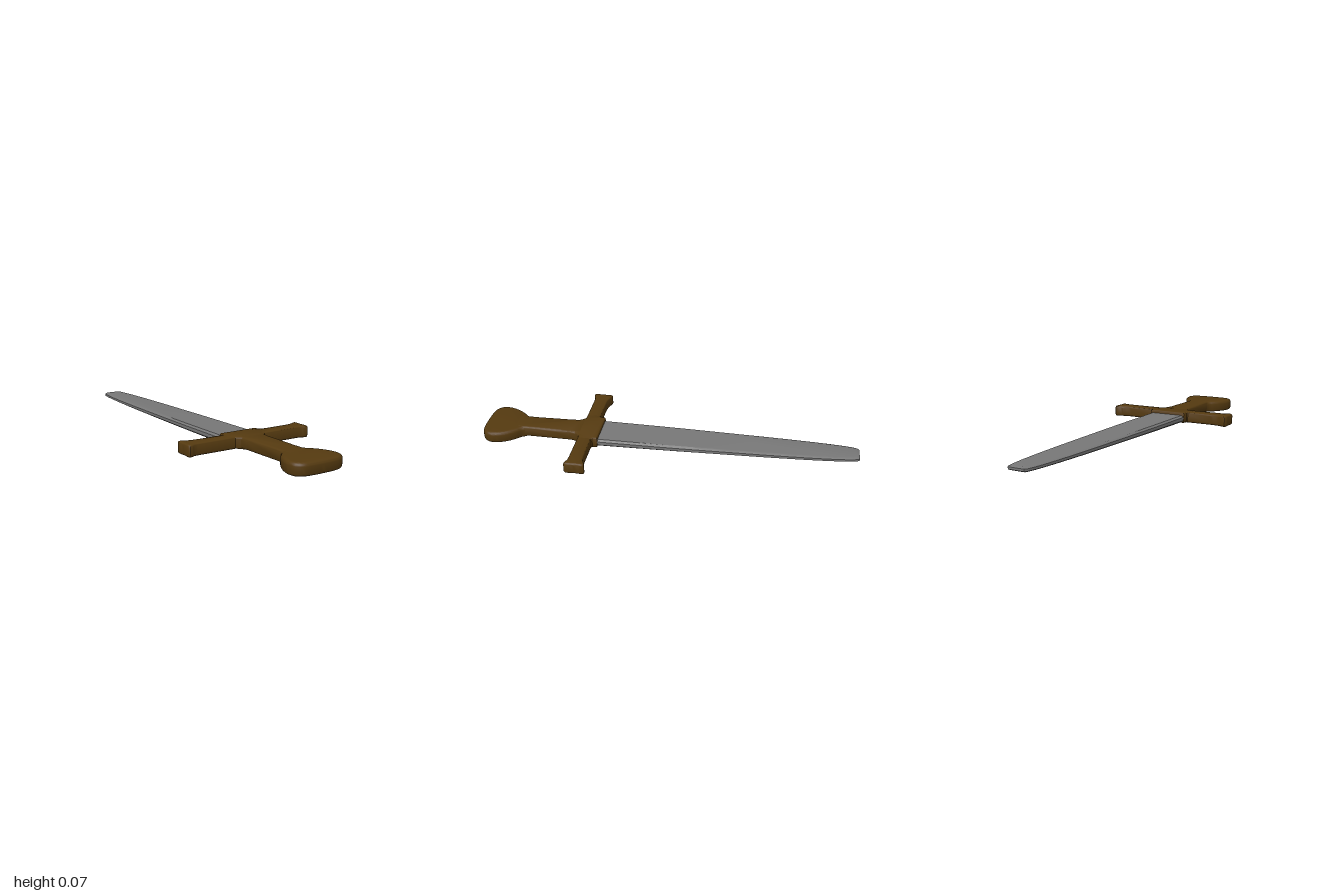
import * as THREE from 'three';
import { toCreasedNormals } from 'three/addons/utils/BufferGeometryUtils.js';

// Mirrors a right-hand outline of [x, z] points into a closed plan shape
function planShape(half) {
  const pts = half.map(([x, z]) => new THREE.Vector2(x, -z));
  const mirrored = half.filter(([x]) => x > 0).reverse().map(([x, z]) => new THREE.Vector2(-x, -z));
  return new THREE.Shape([...pts, ...mirrored]);
}

// Smooths a run of [x, z] points
function smooth(points, n) {
  const curve = new THREE.CatmullRomCurve3(points.map(([x, z]) => new THREE.Vector3(x, 0, z)), false, 'centripetal');
  return curve.getPoints(n).map((p) => [p.x, p.z]);
}

// Lying slab with rounded rims, from y0 to y1, keeping the outline's size
function slab(half, y0, y1, bevel, thick = bevel, segments = 4) {
  const g = new THREE.ExtrudeGeometry(planShape(half), {
    depth: y1 - y0 - 2 * thick, bevelEnabled: true, bevelSize: bevel,
    bevelOffset: -bevel, bevelThickness: thick, bevelSegments: segments, curveSegments: 8,
  });
  g.rotateX(-Math.PI / 2);
  g.translate(0, y0 + thick, 0);
  return g;
}

export function createModel() {
  const steel = new THREE.MeshStandardMaterial({ color: 0x777777 });
  steel.name = 'steel';
  const bronze = new THREE.MeshStandardMaterial({ color: 0x553a10 });
  bronze.name = 'bronze';

  const sword = new THREE.Group();
  sword.name = 'sword';
  const add = (name, geometry, material) => {
    const mesh = new THREE.Mesh(toCreasedNormals(geometry, 0.6), material);
    mesh.name = name;
    sword.add(mesh);
  };

  // Blade: blunt tip, thinning toward the tip
  const blade = slab([
    [0.105, 0.42],
    ...smooth([[0.104, 0.36], [0.1, 0], [0.093, -0.3], [0.084, -0.6], [0.073, -0.82], [0.062, -0.94], [0.053, -0.985], [0.044, -1]], 24),
  ], 0.009, 0.048, 0.012, 0.01, 1);
  const p = blade.attributes.position;
  for (let i = 0; i < p.count; i++) {
    const t = (0.4 - p.getZ(i)) / 1.4;
    p.setY(i, 0.0285 + (p.getY(i) - 0.0285) * (1 - 0.42 * t) - 0.005 * t);
  }
  add('blade', blade, steel);

  // Crossguard: straight bar with flared ends
  add('crossguard', slab([
    [0.1, 0.472],
    ...smooth([[0.28, 0.472], [0.315, 0.474], [0.34, 0.483], [0.352, 0.484], [0.359, 0.47],
      [0.357, 0.43], [0.359, 0.39], [0.352, 0.378], [0.335, 0.382], [0.305, 0.393], [0.26, 0.398]], 30),
    [0.1, 0.398],
  ], 0.003, 0.064, 0.011), bronze);

  // Collar gripping the blade root
  add('collar', slab([
    [0.062, 0.51], [0.07, 0.49], [0.09, 0.47], [0.122, 0.465], [0.122, 0.403], [0.111, 0.392], [0.107, 0.367],
  ], 0.004, 0.0645, 0.01), bronze);

  // Grip
  add('grip', slab([
    [0.062, 0.84], [0.062, 0.79], [0.06, 0.74], [0.063, 0.6], [0.064, 0.53], [0.07, 0.49], [0.07, 0.46],
  ], 0.006, 0.065, 0.014), bronze);

  // Pommel: bell outline with a rounded butt
  add('pommel', slab(smooth([
    [0, 1], [0.06, 0.998], [0.105, 0.99], [0.135, 0.966], [0.144, 0.93], [0.138, 0.895],
    [0.118, 0.85], [0.092, 0.815], [0.068, 0.79], [0.058, 0.765],
  ], 36), 0, 0.0645, 0.018, 0.018, 5), bronze);

  return sword;
}
